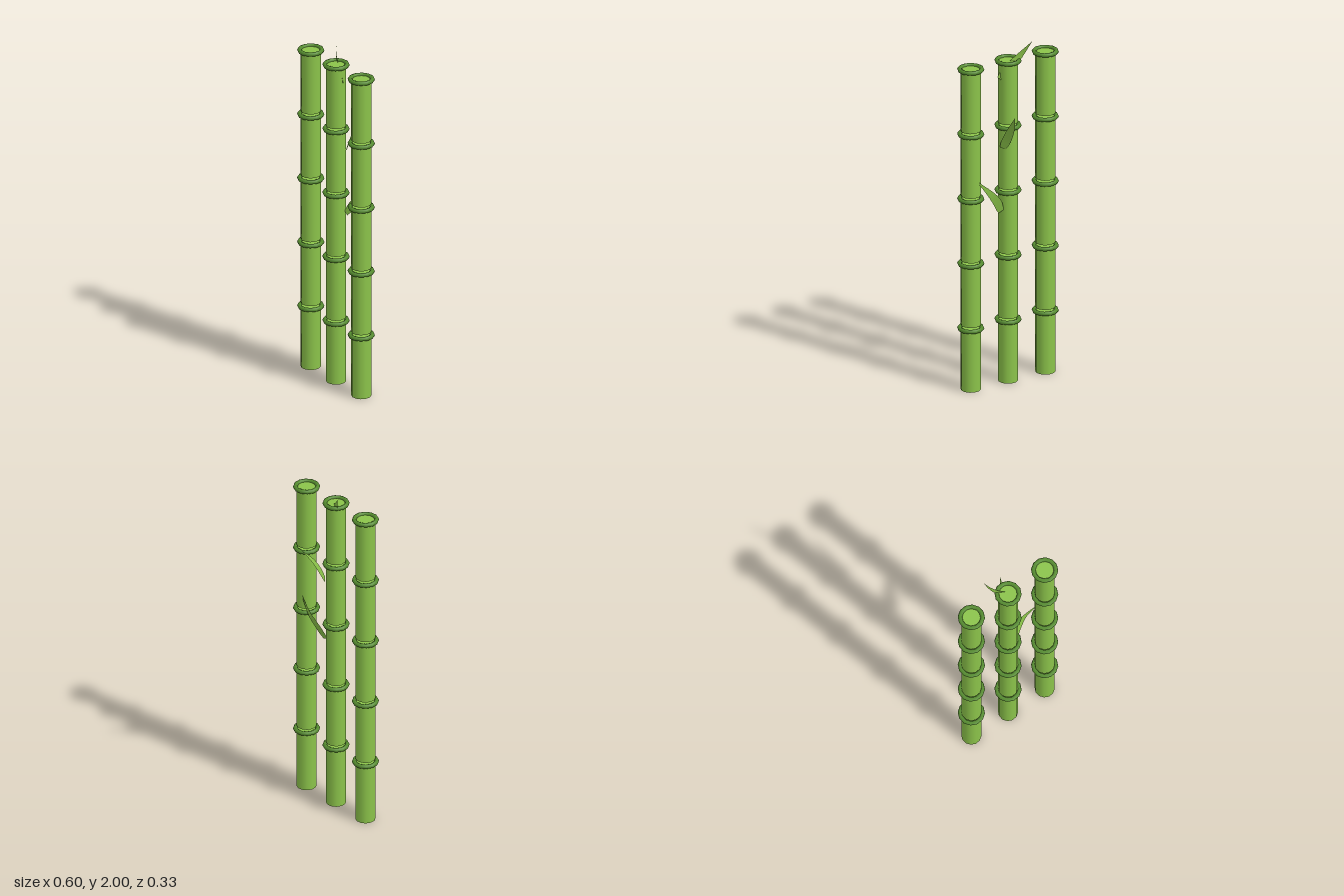
import * as THREE from 'three';

const stalkMat = new THREE.MeshStandardMaterial({ color: 0x8bc34a });
const ringMat = new THREE.MeshStandardMaterial({ color: 0x558b2f });
const leafMat = new THREE.MeshStandardMaterial({ color: 0x8bc34a, side: THREE.DoubleSide });

const SEGMENTS = 5, PITCH = 0.38, HEIGHT = 0.36;

// One stalk: separate segments, each topped by a rounded node ring
function makeStalk(x, z) {
  const stalk = new THREE.Group();
  stalk.name = 'bambooStalk';
  const tube = new THREE.CylinderGeometry(0.055, 0.055, HEIGHT, 12);
  const torus = new THREE.TorusGeometry(0.062, 0.0125, 8, 12).rotateX(Math.PI / 2);
  for (let i = 0; i < SEGMENTS; i++) {
    const segment = new THREE.Mesh(tube, stalkMat);
    segment.name = 'stalkSegment';
    segment.position.y = i * PITCH + HEIGHT / 2;
    const ring = new THREE.Mesh(torus, ringMat);
    ring.name = 'nodeRing';
    ring.position.y = i * PITCH + HEIGHT;
    stalk.add(segment, ring);
  }
  stalk.position.set(x, 0, z);
  return stalk;
}

// Leaf: a curved ribbon along a spine, widest near the base and pointed at the tip
function makeLeaf(points, across) {
  const spine = new THREE.CatmullRomCurve3(points.map(p => new THREE.Vector3(...p)));
  const steps = 10, pos = [], index = [];
  const widths = [0.017, 0.023, 0.025, 0.0245, 0.023, 0.02, 0.0165, 0.0125, 0.008, 0.004, 0];
  for (let i = 0; i <= steps; i++) {
    const c = spine.getPointAt(i / steps), t = spine.getTangentAt(i / steps);
    const w = new THREE.Vector3(...across);
    w.addScaledVector(t, -w.dot(t)).setLength(widths[i]);
    pos.push(c.x - w.x, c.y - w.y, c.z - w.z, c.x + w.x, c.y + w.y, c.z + w.z);
    if (i < steps) {
      const a = 2 * i;
      index.push(a, a + 1, a + 2, a + 1, a + 3, a + 2);
    }
  }
  const geo = new THREE.BufferGeometry();
  geo.setAttribute('position', new THREE.Float32BufferAttribute(pos, 3));
  geo.setIndex(index);
  geo.computeVertexNormals();
  const leaf = new THREE.Mesh(geo, leafMat);
  leaf.name = 'leaf';
  return leaf;
}

export function createModel() {
  const model = new THREE.Group();
  model.name = 'bambooCluster';
  // Three stalks in a diagonal row
  for (const k of [-1, 0, 1]) model.add(makeStalk(k * 0.225, k * 0.09));

  // Three leaves growing from the middle stalk
  model.add(
    makeLeaf([[0.065, 1.012, 0], [0.11, 1.08, -0.007], [0.16, 1.14, -0.002], [0.2, 1.19, 0.019], [0.24, 1.24, 0.045]],
      [-0.6, 0.7, -0.4]),
    makeLeaf([[0.062, 1.385, -0.008], [0.072, 1.465, -0.052], [0.097, 1.55, -0.1], [0.138, 1.62, -0.145]],
      [0.4, 0.6, 0.65]),
    makeLeaf([[0.057, 1.785, 0.016], [0.015, 1.84, -0.015], [-0.027, 1.895, -0.046], [-0.05, 1.95, -0.083], [-0.06, 2, -0.12]],
      [0.4, 0.6, 0.5]),
  );
  return model;
}
